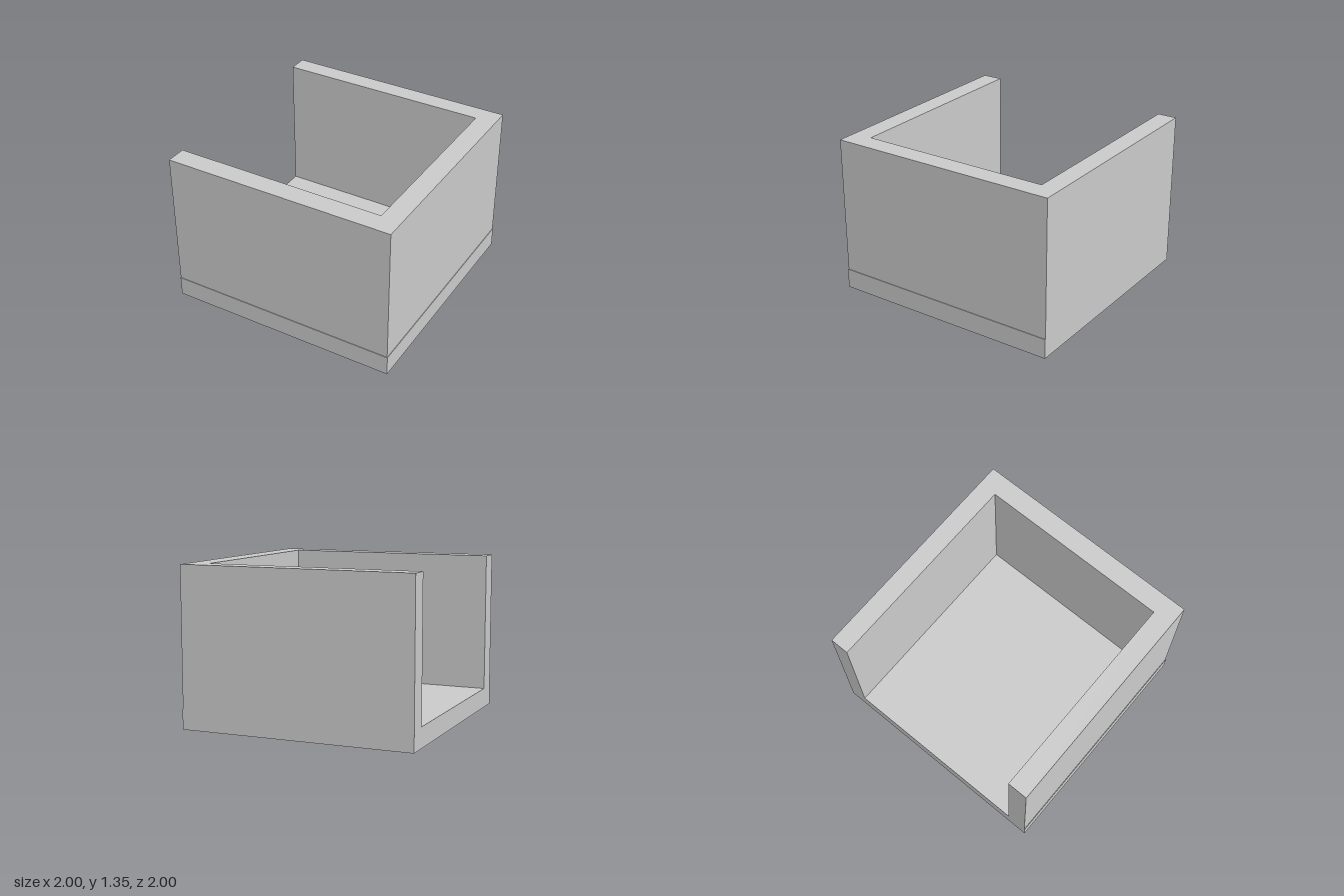
import * as THREE from 'three';

const HEIGHT = 1.35;
const FLOOR = 0.17;

export function createModel() {
  const model = new THREE.Group();
  const material = new THREE.MeshStandardMaterial({ color: 0xcccccc, flatShading: true });

  // Floor slab
  const floor = new THREE.Mesh(new THREE.BoxGeometry(2, FLOOR, 2), material);
  floor.name = 'floor';
  floor.position.y = FLOOR / 2;
  model.add(floor);

  // U-shaped wall, open towards -x; plan drawn as (x, -z) and raised along y
  const plan = new THREE.Shape([
    [-1, -0.995], [0.995, -0.995], [0.995, 1], [-1, 1],
    [-1, 0.835], [0.82, 0.835], [0.82, -0.82], [-1, -0.82],
  ].map(([x, y]) => new THREE.Vector2(x, y)));
  const wallGeometry = new THREE.ExtrudeGeometry(plan, { depth: HEIGHT - FLOOR, bevelEnabled: false });
  wallGeometry.rotateX(-Math.PI / 2);
  const walls = new THREE.Mesh(wallGeometry, material);
  walls.name = 'walls';
  walls.position.y = FLOOR;
  model.add(walls);

  return model;
}
